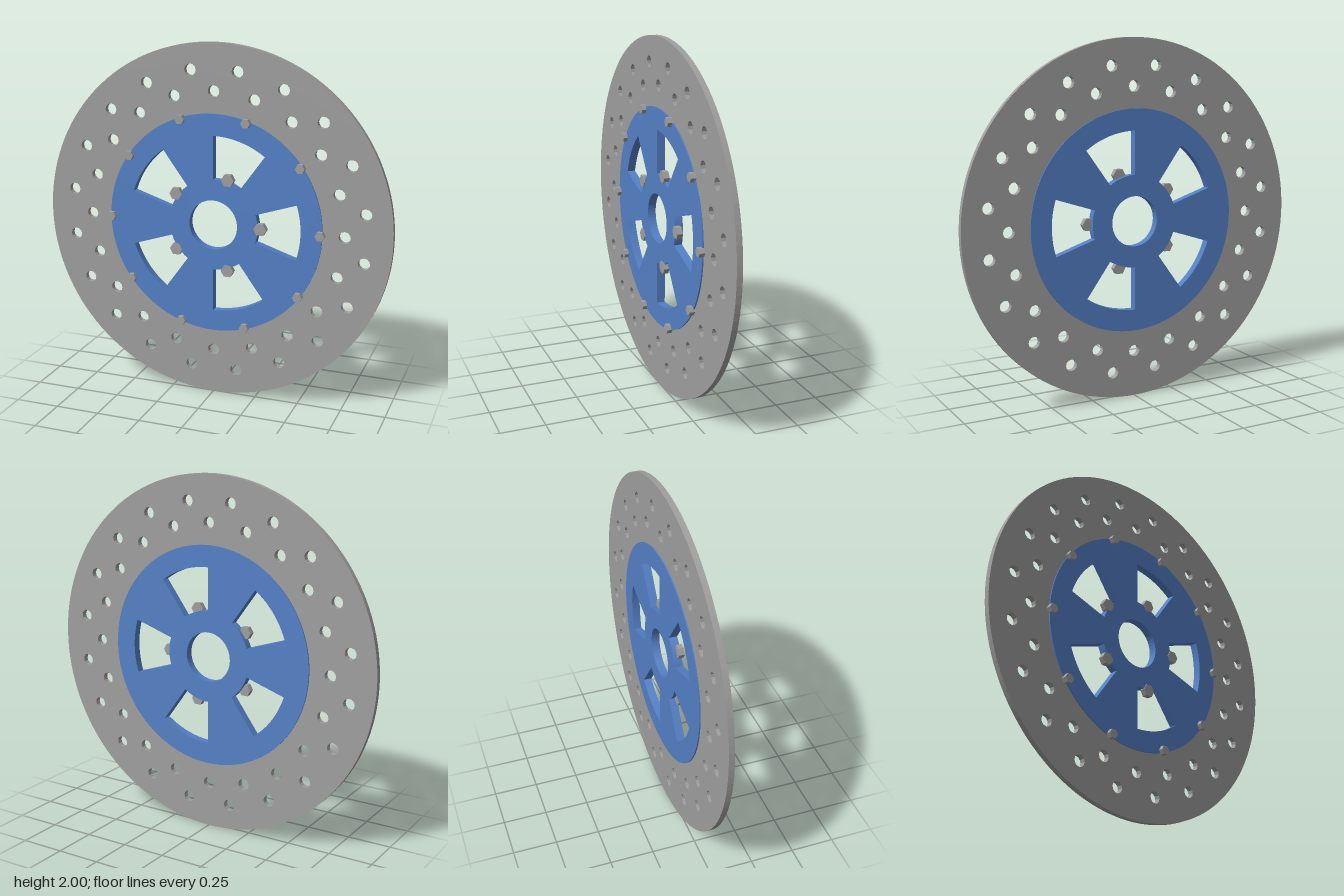
import * as THREE from 'three';

const steel = new THREE.MeshStandardMaterial({ color: 0x9f9f9f });
steel.name = 'steel grey';
const blue = new THREE.MeshStandardMaterial({ color: 0x5480c6 });
blue.name = 'anodised blue';

const polar = (r, a) => new THREE.Vector2(r * Math.cos(a), r * Math.sin(a));
const deg = THREE.MathUtils.degToRad;

// Points along an arc, both ends included
function arc(r, from, to, steps) {
  return Array.from({ length: steps + 1 }, (_, i) => polar(r, from + ((to - from) * i) / steps));
}

function circle(r, sides, center = new THREE.Vector2()) {
  return arc(r, 0, Math.PI * 2, sides).slice(0, -1).map((p) => p.add(center));
}

// Flat plate with holes between two depths
function plate(name, outline, holes, back, front, material) {
  const shape = new THREE.Shape(outline);
  shape.holes = holes.map((points) => new THREE.Path(points));
  const geometry = new THREE.ExtrudeGeometry(shape, { depth: front - back, bevelEnabled: false });
  geometry.translate(0, 0, back);
  const mesh = new THREE.Mesh(geometry, material);
  mesh.name = name;
  return mesh;
}

// Ring of hexagonal bolts, points to the sides
function boltRing(name, count, ringRadius, size, back, front) {
  const group = new THREE.Group();
  group.name = name;
  for (let i = 0; i < count; i++) {
    const p = polar(ringRadius, (i * Math.PI * 2) / count);
    const bolt = plate('bolt', circle(size, 6), [], back, front, steel);
    bolt.position.set(p.x, p.y, 0);
    group.add(bolt);
  }
  return group;
}

export function createModel() {
  const model = new THREE.Group();
  model.name = 'brakeDisc';
  const wheel = new THREE.Group();
  wheel.name = 'discAssembly';
  wheel.position.y = 1;
  model.add(wheel);

  // Drilled friction ring: two staggered rows of holes
  const drilled = [circle(0.6, 96)];
  for (let i = 0; i < 20; i++) {
    drilled.push(circle(0.033, 12, polar(0.74, deg(i * 18))));
    drilled.push(circle(0.033, 12, polar(0.86, deg(i * 18 + 9))));
  }
  wheel.add(plate('frictionRing', circle(1, 128), drilled, -0.028, 0.004, steel));

  // Hub carrier with a centre bore and five windows
  const openings = [circle(0.14, 48)];
  for (let i = 0; i < 5; i++) {
    const a = deg(i * 72 - 18);
    const b = a + deg(36);
    openings.push([...arc(0.5, a, b, 12), ...arc(0.258, b, a, 12)]);
  }
  wheel.add(plate('hubCarrier', circle(0.62, 96), openings, -0.035, 0.011, blue));

  // Fasteners
  wheel.add(boltRing('rimBolts', 10, 0.61, 0.027, 0.002, 0.035));
  wheel.add(boltRing('hubBolts', 5, 0.272, 0.037, -0.014, 0.017));
  return model;
}
